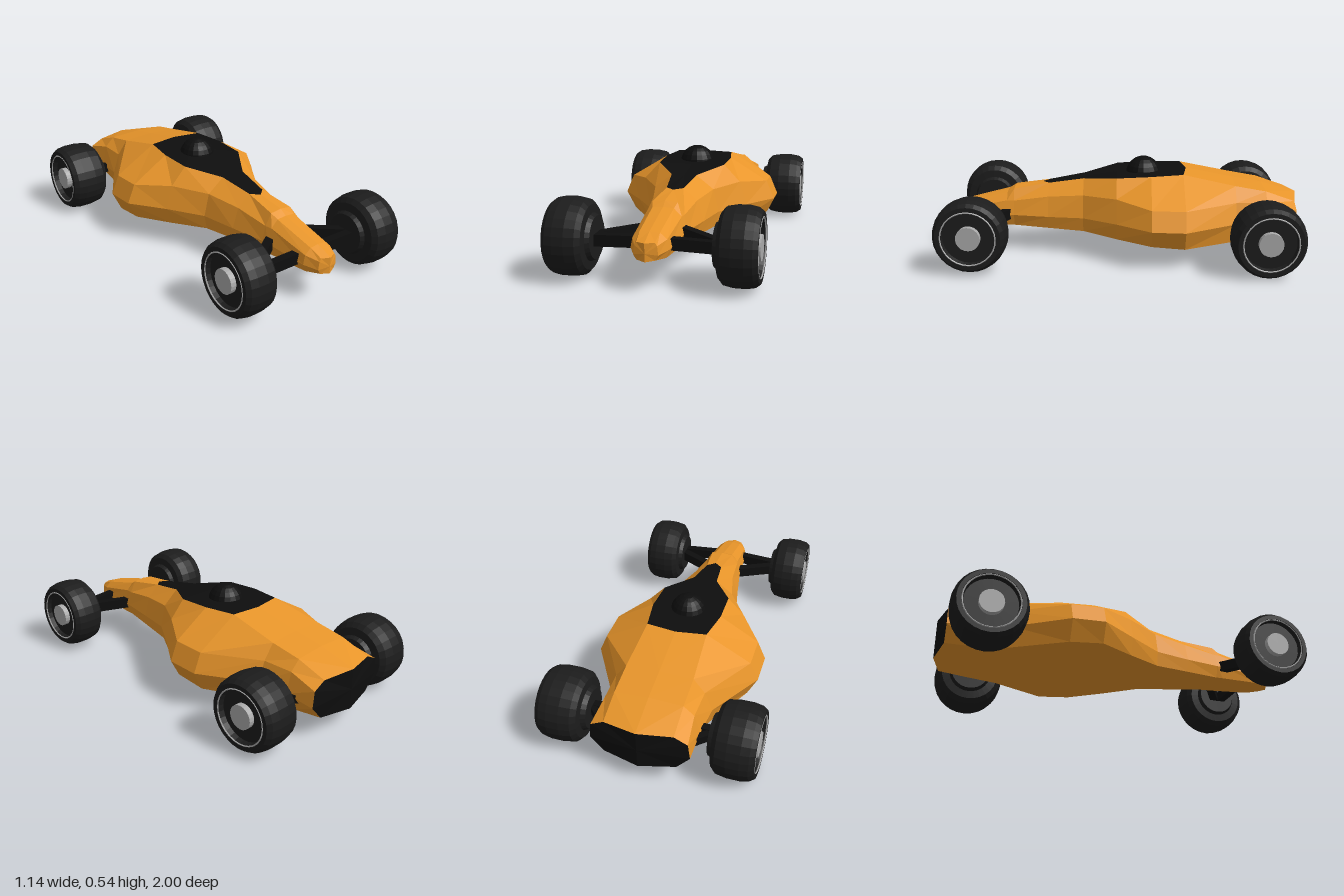
import * as THREE from 'three';

const paint = (color) => new THREE.MeshStandardMaterial({ color, flatShading: true });
const ORANGE = paint(0xe8952a), BLACK = paint(0x0e0e0e), TYRE = paint(0x1c1c1c), GREY = paint(0xaaaaaa);

// Hull stations, nose to tail: z, centre z offset, top y, then x,y of
// ridge, upper side, lower side and floor edge, and last the floor centre y
const STATIONS = [
  [0.97, 0.02, 0.25, 0.045, 0.25, 0.055, 0.235, 0.06, 0.19, 0.045, 0.165, 0.16],
  [0.90, 0, 0.285, 0.05, 0.28, 0.085, 0.25, 0.095, 0.2, 0.08, 0.16, 0.155],
  [0.66, 0, 0.345, 0.055, 0.34, 0.095, 0.3, 0.117, 0.22, 0.1, 0.155, 0.15],
  [0.62, 0, 0.37, 0.065, 0.362, 0.1, 0.3, 0.12, 0.22, 0.1, 0.155, 0.15],
  [0.42, 0.04, 0.39, 0.045, 0.392, 0.12, 0.33, 0.155, 0.22, 0.14, 0.15, 0.145],
  [0.22, 0, 0.42, 0.07, 0.425, 0.165, 0.35, 0.195, 0.225, 0.18, 0.145, 0.14],
  [0.03, 0, 0.45, 0.19, 0.455, 0.28, 0.36, 0.32, 0.23, 0.29, 0.135, 0.135],
  [-0.16, 0, 0.465, 0.195, 0.465, 0.41, 0.335, 0.455, 0.23, 0.4, 0.13, 0.13],
  [-0.34, -0.025, 0.472, 0.165, 0.47, 0.41, 0.33, 0.455, 0.225, 0.4, 0.115, 0.112],
  [-0.63, 0, 0.42, 0.18, 0.41, 0.24, 0.33, 0.28, 0.22, 0.25, 0.11, 0.095],
  [-0.80, 0, 0.39, 0.18, 0.38, 0.235, 0.33, 0.265, 0.22, 0.21, 0.11, 0.085],
  [-0.96, -0.04, 0.335, 0.18, 0.325, 0.25, 0.29, 0.26, 0.2, 0.19, 0.12, 0.11],
];

// Full closed ring of a station: top centre, down the left side, up the right
function ring([z, dz, top, ...s]) {
  const floor = s.pop();
  const half = [[0, top]];
  for (let i = 0; i < s.length; i += 2) half.push([s[i], s[i + 1]]);
  half.push([0, floor]);
  const mirrored = half.slice(1, -1).reverse().map(([x, y]) => [-x, y]);
  return [...half, ...mirrored].map(([x, y]) =>
    new THREE.Vector3(x, y, z + dz * Math.max(0, 1 - Math.abs(x) / s[0])));
}

function facets(name, triangles, material) {
  const geometry = new THREE.BufferGeometry().setFromPoints(triangles);
  geometry.computeVertexNormals();
  return part(name, geometry, material);
}

function part(name, geometry, material) {
  const mesh = new THREE.Mesh(geometry, material);
  mesh.name = name;
  return mesh;
}

// Hull loft; the top strips between the ridges become the cockpit opening
function addHull(car) {
  const rings = STATIONS.map(ring), n = rings[0].length;
  const hull = [], cockpit = [], tail = [];
  for (let i = 0; i < rings.length - 1; i++) {
    for (let j = 0; j < n; j++) {
      const k = (j + 1) % n;
      const a = rings[i][j], b = rings[i][k], c = rings[i + 1][j], d = rings[i + 1][k];
      const open = i >= 4 && i < 8 && (j === 0 || j === n - 1);
      // mirror the diagonal on the right side
      const quad = j < n / 2 ? [a, b, c, b, d, c] : [a, b, d, a, d, c];
      (open ? cockpit : hull).push(...quad);
    }
  }
  const nose = rings[0], back = rings[rings.length - 1];
  const noseMid = new THREE.Vector3(0, 0.2, 0.99), backMid = new THREE.Vector3(0, 0.22, -1);
  for (let j = 0; j < n; j++) {
    const k = (j + 1) % n;
    hull.push(noseMid, nose[k], nose[j]);
    tail.push(backMid, back[j], back[k]);
  }
  car.add(facets('hull', hull, ORANGE), facets('cockpit', cockpit, BLACK), facets('tailPanel', tail, BLACK));
}

// Wheel with its axle along x, inner face at x = 0 and outer face at x = width
function wheel(name, width) {
  const group = new THREE.Group();
  group.name = name;
  const profile = [
    [0, 0], [0.11, 0], [0.122, 0.1], [0.165, 0.12], [0.19, 0.22], [0.2, 0.45], [0.2, 0.72],
    [0.192, 0.9], [0.175, 1], [0.152, 1], [0.14, 0.86], [0, 0.86],
  ].map(([r, t]) => new THREE.Vector2(r, t * width));
  const tyre = part('tyre', new THREE.LatheGeometry(profile, 28), TYRE);
  const hub = part('hub', new THREE.CylinderGeometry(0.065, 0.065, 0.05, 20), GREY);
  hub.position.y = width * 0.86 + 0.005;
  const rim = part('rimRing', new THREE.TorusGeometry(0.147, 0.004, 4, 28), GREY);
  rim.rotation.x = Math.PI / 2;
  rim.position.y = width * 0.99;
  const axle = new THREE.Group();
  axle.rotation.z = -Math.PI / 2;
  axle.add(tyre, hub, rim);
  group.add(axle);
  return group;
}

// Square suspension arm between two points
function arm(name, from, to, thick) {
  const a = new THREE.Vector3(...from), b = new THREE.Vector3(...to);
  const mesh = part(name, new THREE.BoxGeometry(thick, thick * 1.3, a.distanceTo(b)), BLACK);
  mesh.position.copy(a).lerp(b, 0.5);
  mesh.lookAt(b);
  return mesh;
}

export function createModel() {
  const car = new THREE.Group();
  car.name = 'racingCar';
  addHull(car);

  // Driver's helmet
  const helmet = part('helmet', new THREE.SphereGeometry(0.1, 18, 12), BLACK);
  helmet.position.set(0, 0.44, -0.12);
  car.add(helmet);

  // Wheels and suspension, mirrored left and right
  for (const side of [1, -1]) {
    const label = side > 0 ? 'Left' : 'Right';
    const front = wheel('frontWheel' + label, 0.22);
    front.position.set(side * 0.297, 0.21, 0.803);
    front.scale.set(1, 0.985, 0.985);
    const rear = wheel('rearWheel' + label, 0.25);
    rear.position.set(side * 0.32, 0.2, -0.77);
    rear.scale.set(1, 0.985, 0.985);
    for (const w of [front, rear]) {
      if (side < 0) w.rotation.y = Math.PI;
      car.add(w);
    }
    car.add(
      arm('frontArm' + label, [side * 0.07, 0.215, 0.84], [side * 0.31, 0.205, 0.83], 0.045),
      arm('frontStrut' + label, [side * 0.08, 0.225, 0.645], [side * 0.31, 0.205, 0.79], 0.045),
      arm('rearArm' + label, [side * 0.2, 0.21, -0.76], [side * 0.34, 0.205, -0.76], 0.04),
      arm('rearStrut' + label, [side * 0.2, 0.21, -0.89], [side * 0.34, 0.205, -0.76], 0.035),
    );
  }
  return car;
}
